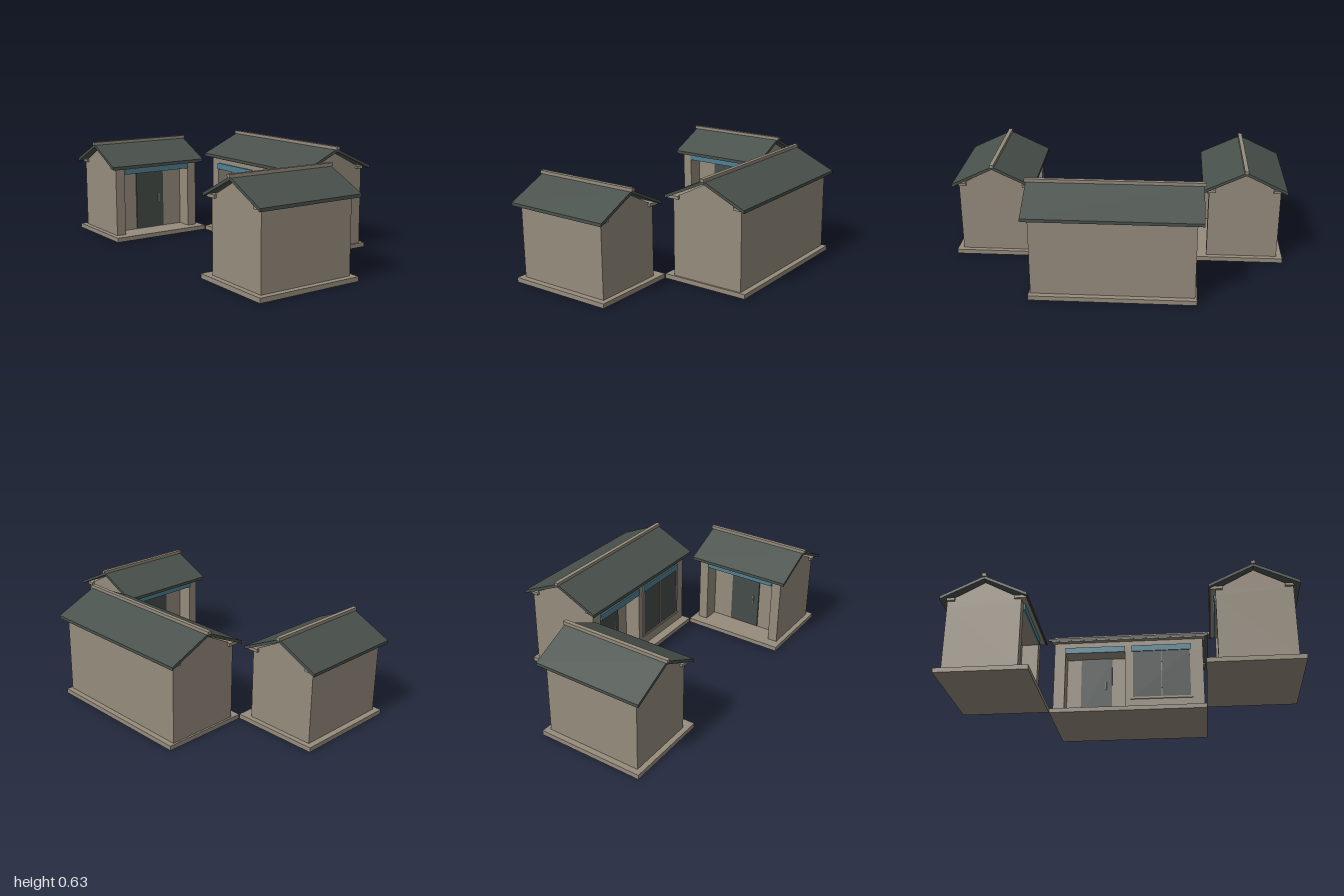
import * as THREE from 'three';

const mat = (name, color, side = THREE.FrontSide) => {
  const m = new THREE.MeshStandardMaterial({ color, side });
  m.name = name;
  return m;
};

export function createModel() {
  const stone = mat('warm stone', 0x968c7d);
  const slate = mat('dark slate', 0x49514c);
  const glass = mat('dark door and glass', 0x454c48);
  const blue = mat('blue sign band', 0x4f8093);

  const BASE = 0.027, HEAD = 0.41, RECESS = 0.1;

  // Box given by its limits on each axis
  function box(parent, name, material, x0, x1, y0, y1, z0, z1) {
    const mesh = new THREE.Mesh(new THREE.BoxGeometry(x1 - x0, y1 - y0, z1 - z0), material);
    mesh.position.set((x0 + x1) / 2, (y0 + y1) / 2, (z0 + z1) / 2);
    mesh.name = name;
    parent.add(mesh);
  }

  // Prism with a (z, y) section running along x
  function ridgePrism(parent, name, material, points, length) {
    const shape = new THREE.Shape(points.map(p => new THREE.Vector2(...p)));
    const geo = new THREE.ExtrudeGeometry(shape, { depth: length, bevelEnabled: false });
    geo.translate(0, 0, -length / 2).rotateY(Math.PI / 2);
    const mesh = new THREE.Mesh(geo, material);
    mesh.name = name;
    parent.add(mesh);
  }

  // One house, its front towards local +z
  function house(name, { w, d, h, door, window: win, front, back, ends }) {
    const g = new THREE.Group();
    g.name = name;
    const hw = w / 2, hd = d / 2;

    box(g, 'foundation', stone, -hw - ends, hw + ends, 0, BASE, -hd - back, hd + front);

    // Walls follow a floor plan with a recessed door bay
    const [a, b] = door, zIn = hd - RECESS;
    const plan = new THREE.Shape([
      [-hw, -hd], [hw, -hd], [hw, hd], [b, hd], [b, zIn], [a, zIn], [a, hd], [-hw, hd],
    ].map(p => new THREE.Vector2(p[0], -p[1])).reverse());
    const wallGeo = new THREE.ExtrudeGeometry(plan, { depth: HEAD - BASE, bevelEnabled: false });
    wallGeo.rotateX(-Math.PI / 2).translate(0, BASE, 0);
    const walls = new THREE.Mesh(wallGeo, stone);
    walls.name = 'walls';
    g.add(walls);
    box(g, 'upperWall', stone, -hw, hw, HEAD, h, -hd, hd);

    // Gables and the wall plates under the eaves
    ridgePrism(g, 'gables', stone, [[-hd, h], [hd, h], [0, h + 0.113]], w);
    box(g, 'frontWallPlate', stone, -hw - 0.015, hw + 0.015, h - 0.003, h + 0.015, hd - 0.04, hd + 0.03);
    box(g, 'backWallPlate', stone, -hw - 0.015, hw + 0.015, h, h + 0.016, -hd, -hd + 0.045);

    // Roof and ridge cap
    const e = hd + 0.036, t = 0.018, top = h + 0.136;
    ridgePrism(g, 'roof', slate,
      [[-e, h], [0, top - t], [e, h], [e, h + t], [0, top], [-e, h + t]], w + 0.072);
    box(g, 'ridgeCap', stone, -hw - 0.045, hw + 0.045, h + 0.13, h + 0.149, -0.012, 0.012);

    // Door with a pull handle
    const c = (a + b) / 2;
    box(g, 'door', glass, c - 0.0975, c + 0.0975, BASE + 0.004, HEAD, zIn, zIn + 0.008);
    box(g, 'doorHandle', stone, c + 0.058, c + 0.064, 0.195, 0.25, zIn + 0.008, zIn + 0.016);
    box(g, 'doorSignBand', blue, a, b, HEAD, HEAD + 0.039, hd, hd + 0.009);

    // Shop window with a frame and a centre bar
    if (win) {
      const [l, r] = win, m = (l + r) / 2;
      box(g, 'windowGlass', glass, l + 0.01, r - 0.01, 0.103, HEAD, hd, hd + 0.003);
      box(g, 'windowSill', stone, l - 0.005, r + 0.005, 0.09, 0.103, hd, hd + 0.008);
      for (const [x, q] of [[l + 0.002, 0.007], [r - 0.002, 0.007], [m, 0.002]])
        box(g, 'windowBar', stone, x - q, x + q, 0.103, HEAD, hd, hd + 0.006);
      box(g, 'windowSignBand', blue, l, r, HEAD, HEAD + 0.039, hd, hd + 0.009);
    }
    return g;
  }

  const model = new THREE.Group();
  model.name = 'courtyardHouses';

  const main = house('mainHouse', {
    w: 0.928, d: 0.445, h: 0.486, door: [-0.395, -0.02], window: [0.02, 0.392],
    front: 0.055, back: 0.033, ends: 0.011,
  });
  main.position.set(0, 0, -0.338);
  model.add(main);

  // Two wings facing each other across the courtyard
  for (const s of [-1, 1]) {
    const wing = house(s < 0 ? 'rightWing' : 'leftWing', {
      w: 0.58, d: 0.425, h: 0.449, door: [-0.23, 0.23],
      front: 0.065, back: 0.035, ends: 0.031,
    });
    wing.position.set(s * 0.7525, 0, 0.264);
    wing.rotation.y = -s * Math.PI / 2;
    model.add(wing);
  }
  return model;
}
